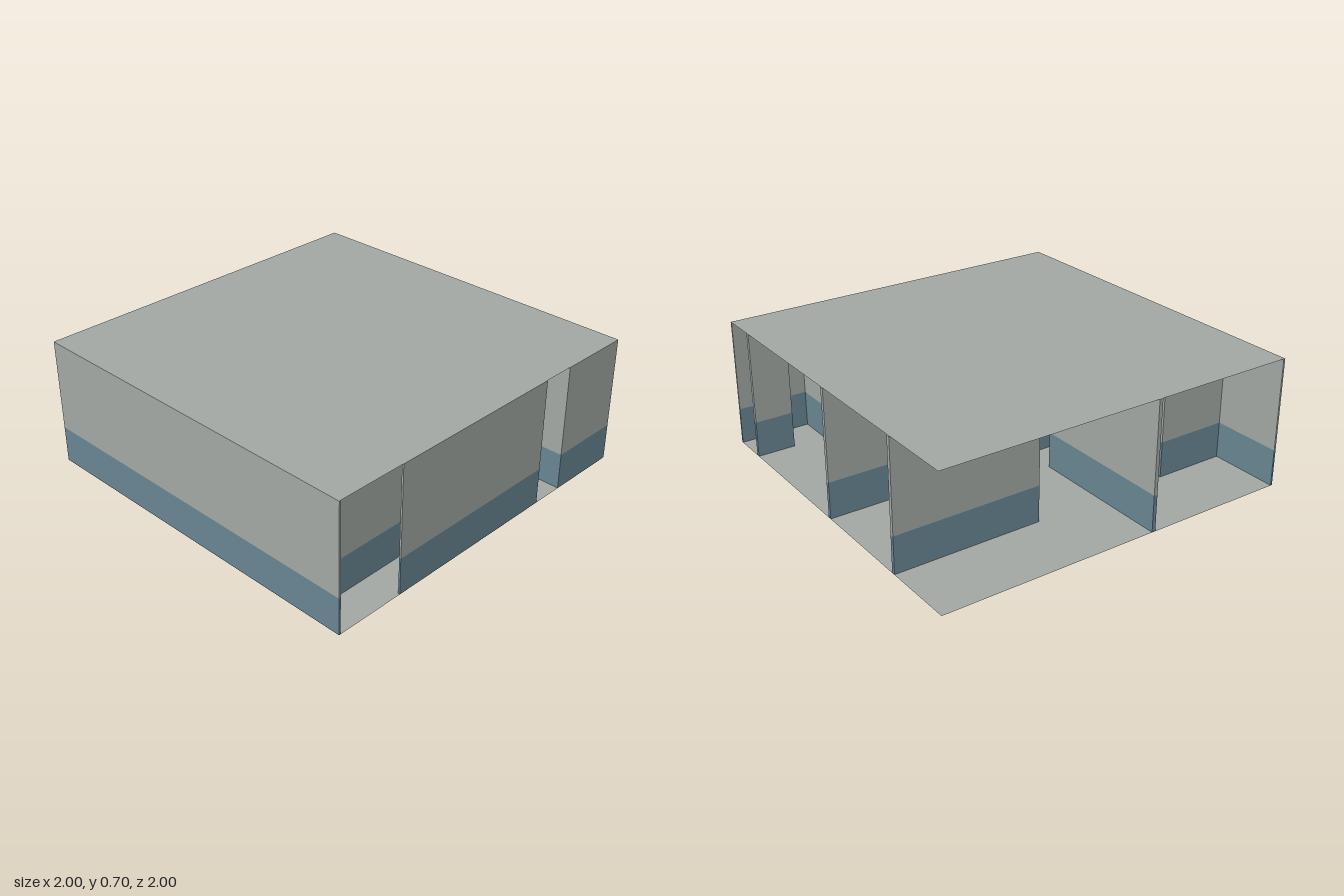
import * as THREE from 'three';

const HEIGHT = 0.7;
const BAND = 0.2; // height of the blue lower band
const HALF = 0.01; // half the wall thickness
const GAP = 0.001; // keeps wall ends off the floor and roof faces

export function createModel() {
  const plaster = new THREE.MeshStandardMaterial({ color: 0xa3a9a5, side: THREE.DoubleSide });
  plaster.name = 'grey plaster';
  const paint = new THREE.MeshStandardMaterial({ color: 0x688693 });
  paint.name = 'blue paint';

  const model = new THREE.Group();
  model.name = 'roomBlock';

  // Floor and roof: flat sheets
  for (const [name, y] of [['floor', 0], ['roof', HEIGHT]]) {
    const sheet = new THREE.Mesh(new THREE.PlaneGeometry(2, 2).rotateX(-Math.PI / 2), plaster);
    sheet.name = name;
    sheet.position.y = y;
    model.add(sheet);
  }

  // A wall between two grid points: blue below, grey above, kept inside the floor outline
  const clip = (v) => THREE.MathUtils.clamp(v, -1, 1);
  function addWall(name, xa, za, xb, zb) {
    const x0 = clip(xa - HALF), x1 = clip(xb + HALF);
    const z0 = clip(za - HALF), z1 = clip(zb + HALF);
    const wall = new THREE.Group();
    wall.name = name;
    const parts = [['lowerBand', GAP, BAND, paint], ['upperWall', BAND, HEIGHT - GAP, plaster]];
    for (const [part, y0, y1, material] of parts) {
      const mesh = new THREE.Mesh(new THREE.BoxGeometry(x1 - x0, y1 - y0, z1 - z0), material);
      mesh.name = part;
      mesh.position.set((x0 + x1) / 2, (y0 + y1) / 2, (z0 + z1) / 2);
      wall.add(mesh);
    }
    model.add(wall);
  }

  // Outer walls
  addWall('rightOuterWall', -1, -1, -1, 1);
  addWall('frontWall', -0.6, 1, 0.4, 1);
  addWall('frontCornerWall', 0.6, 1, 1, 1);

  // Partitions running across
  addWall('frontPartition', -0.8, 0.8, 0.6, 0.8);
  addWall('frontSidePartition', 0.8, 0.8, 1, 0.8);
  addWall('middlePartition', -0.6, 0, 1, 0);
  addWall('backLeftPartition', 0.2, -0.6, 1, -0.6);
  addWall('backRightPartition', -1, -0.6, -0.6, -0.6);

  // Partitions running front to back
  addWall('entryPartition', 0.6, 0.8, 0.6, 1);
  addWall('corridorPartition', -0.8, 0.4, -0.8, 0.8);
  addWall('backPartition', -0.2, -1, -0.2, -0.2);

  return model;
}
